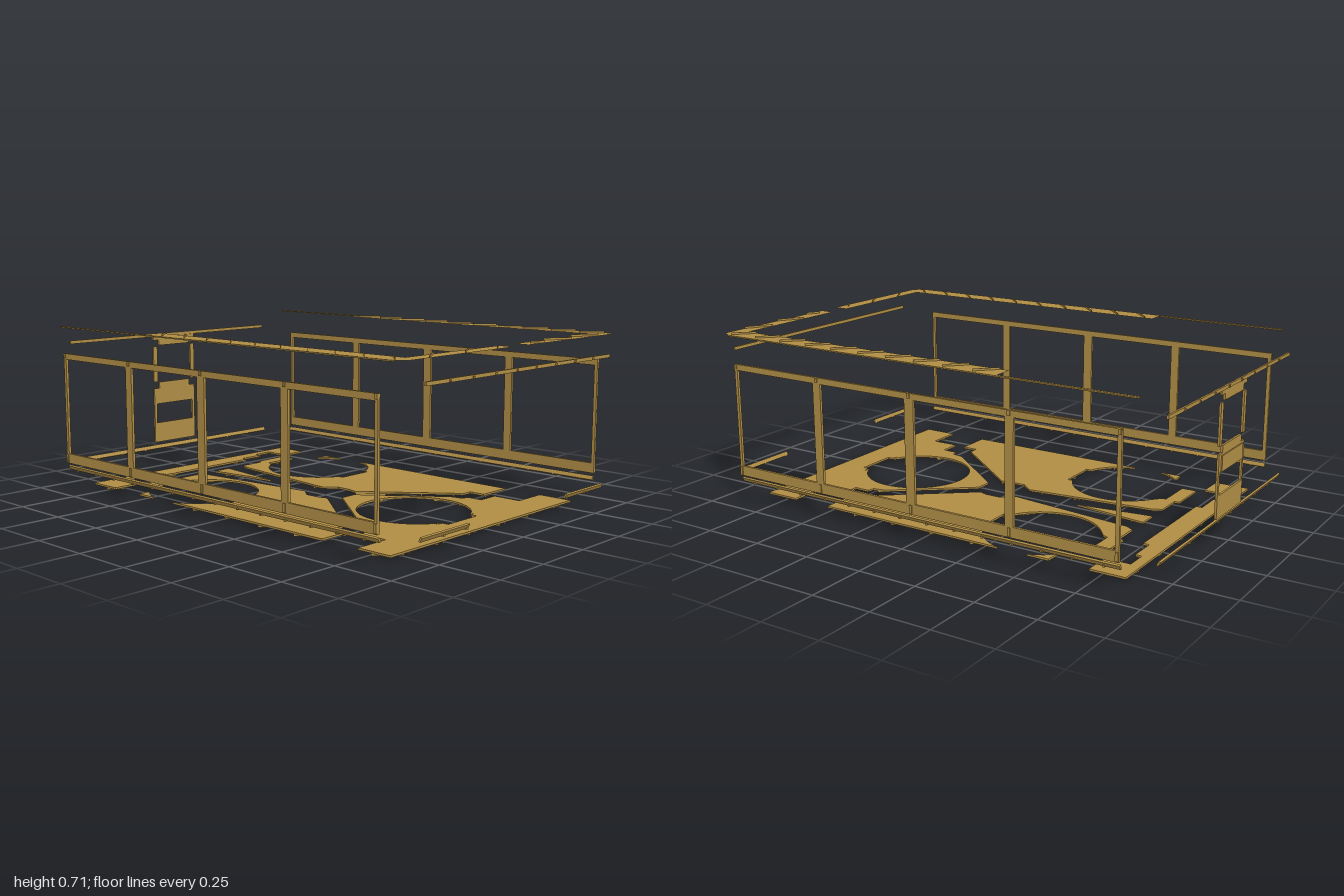
import * as THREE from 'three';

const brass = new THREE.MeshStandardMaterial({ color: 0xb08d45, side: THREE.DoubleSide });
brass.name = 'brass';

function add(parent, name, geometry) {
  const mesh = new THREE.Mesh(geometry, brass);
  mesh.name = name;
  parent.add(mesh);
  return mesh;
}

// Box given by its limits on each axis
function box(parent, name, x0, x1, y0, y1, z0, z1) {
  const g = new THREE.BoxGeometry(Math.abs(x1 - x0), y1 - y0, Math.abs(z1 - z0));
  return add(parent, name, g.translate((x0 + x1) / 2, (y0 + y1) / 2, (z0 + z1) / 2));
}

// Points [x, z] along an arc on the ground
function arc(cx, cz, r, a0, a1, n = 14) {
  return Array.from({ length: n + 1 }, (_, i) => {
    const a = a0 + ((a1 - a0) * i) / n;
    return [cx + r * Math.cos(a), cz + r * Math.sin(a)];
  });
}

const mirror = (pts) => pts.map(([x, z]) => [-x, z]);
const withMirror = (half) => [...half, ...mirror(half).reverse()];
const toVec = (pts) => pts.map(([x, z]) => new THREE.Vector2(x, -z));

// Horizontal plate from an [x, z] outline
function plate(parent, name, pts, y0, y1, hole) {
  const shape = new THREE.Shape(toVec(pts));
  if (hole) shape.holes.push(new THREE.Path(toVec(hole)));
  const g = y1 > y0
    ? new THREE.ExtrudeGeometry(shape, { depth: y1 - y0, bevelEnabled: false })
    : new THREE.ShapeGeometry(shape);
  return add(parent, name, g.rotateX(-Math.PI / 2).translate(0, y0, 0));
}

// Thin upright rib between two ground points
function rib(parent, name, [ax, az], [bx, bz], y0, y1, t = 0.003) {
  const g = new THREE.BoxGeometry(Math.hypot(bx - ax, bz - az), y1 - y0, t);
  g.rotateY(-Math.atan2(bz - az, bx - ax));
  return add(parent, name, g.translate((ax + bx) / 2, (y0 + y1) / 2, (az + bz) / 2));
}

function inside(x, z, pts) {
  let hit = false;
  for (let i = 0, j = pts.length - 1; i < pts.length; j = i++) {
    const [xi, zi] = pts[i], [xj, zj] = pts[j];
    if (zi > z !== zj > z && x < ((xj - xi) * (z - zi)) / (zj - zi) + xi) hit = !hit;
  }
  return hit;
}

// Floor plates with cut-outs and a diagonal rib lattice underneath
function buildFloor() {
  const floor = new THREE.Group();
  floor.name = 'floor';
  const C = [0.35, -0.376, 0.23];
  const side = [
    [0.42, -0.677], [0.25, -0.677], [0.25, -0.656], [0.135, -0.656], [0.116, -0.62],
    [0.053, -0.07], [0.097, -0.016], [0.097, 0.053], [0.085, 0.09], [0.37, 0.45],
    [0.415, 0.45], [0.415, 0.52], [0.57, 0.52],
    ...arc(...C, 0.27, 1.216), [0.43, -0.14], [0.26, -0.14], ...arc(...C, 1.974, 3.97),
    [0.25, -0.59], [0.26, -0.614], [0.42, -0.614],
  ];
  const corner = [[0.57, -0.535], ...arc(...C, -0.78, -0.29, 6)];
  const backBar = withMirror([
    [0.57, -0.852], [0.57, -0.704], [0.45, -0.704], [0.45, -0.81], [0.36, -0.81],
    [0.36, -0.783], [0.243, -0.783], [0.243, -0.757],
  ]);
  const front = withMirror([
    [0.037, 0.13], [0.285, 0.445], [0.295, 0.5], [0.325, 0.505], [0.325, 0.573],
    [0.42, 0.573], [0.42, 0.695], [0.57, 0.695], [0.57, 0.843],
  ]);
  const frontHole = [
    ...arc(0, 0.48, 0.228, Math.PI - 1.15, Math.PI * 2 + 1.15, 40),
    [0.125, 0.69], [0.09, 0.695], [0.09, 0.722], [-0.09, 0.722], [-0.09, 0.695], [-0.125, 0.69],
  ];
  const plates = [
    ['sidePlate', side], ['sidePlate', mirror(side)],
    ['cornerPlate', corner], ['cornerPlate', mirror(corner)],
    ['backPlate', backBar], ['frontPlate', front, frontHole],
    ['centrePlate', [[-0.042, -0.656], [0.042, -0.656], [0, -0.333]]],
  ];
  for (const [name, pts, hole] of plates) {
    plate(floor, name, pts, 0.008, 0.016, hole);
    // march along each lattice line and keep the stretches under the plate
    for (const s of [1, -1]) {
      for (let c = -1.52; c < 1.5; c += 0.19) {
        let start = null;
        for (let x = -0.6; x <= 0.6; x += 0.01) {
          const z = s * x + c;
          const on = inside(x, z, pts) && !(hole && inside(x, z, hole));
          if (on && !start) start = [x, z];
          if (!on && start) {
            const end = [x - 0.01, z - s * 0.01];
            if (end[0] - start[0] > 0.02) rib(floor, 'floorRib', start, end, 0, 0.009, 0.005);
            start = null;
          }
        }
      }
    }
  }
  return floor;
}

// Window frame and sill rail on one side (s = +1 or -1)
function buildSide(s) {
  const g = new THREE.Group();
  g.name = s > 0 ? 'leftSide' : 'rightSide';
  const xi = s * 0.676, xo = s * 0.687;
  box(g, 'topFrameRail', xi, xo, 0.567, 0.592, -0.882, 0.884);
  box(g, 'bottomFrameRail', xi, xo, 0.118, 0.16, -0.882, 0.884);
  const posts = [[-0.882, -0.866], [-0.457, -0.42], [-0.02, 0.022], [0.43, 0.467], [0.87, 0.884]];
  for (const [z0, z1] of posts) {
    const m = (z0 + z1) / 2;
    box(g, 'windowPost', xi, xo, 0.16, 0.567, z0, z1);
    box(g, 'lowerClip', xo, s * 0.691, 0.122, 0.156, m - 0.006, m + 0.006);
    box(g, 'upperClip', xo, s * 0.691, 0.573, 0.592, m - 0.006, m + 0.006);
  }
  // slanted sill rail with small tabs
  const rail = new THREE.BoxGeometry(0.009, 0.018, 1.766);
  rail.rotateZ(-s * 0.5).translate(s * 0.673, 0.098, 0);
  add(g, 'sillRail', rail);
  for (let i = 0; i < 14; i++) {
    const z = -0.82 + i * 0.126;
    box(g, 'sillTab', s * 0.668, s * 0.68, 0.086, 0.093, z - 0.004, z + 0.004);
  }
  return g;
}

// Flat upper rim with an outer lip and diagonal ribs
function buildRim() {
  const rim = new THREE.Group();
  rim.name = 'upperRim';
  for (const s of [1, -1]) {
    const at = (x, z) => [s * x, z];
    const outline = [
      [0.045, 0.905], [0.575, 0.905], [0.575, -0.37], [0.667, -0.37],
      [0.667, 0.93], [0.655, 0.955], [0.63, 0.972], [0.045, 0.972],
    ];
    plate(rim, 'rimStrip', outline.map(([x, z]) => at(x, z)), 0.703, 0.703);
    box(rim, 'rimLip', s * 0.655, s * 0.669, 0.698, 0.703, -0.93, 0.93);
    for (const [x0, x1] of [[0.1, 0.15], [0.235, 0.335], [0.43, 0.53]])
      rib(rim, 'rimRib', at(x0, x1 - x0 < 0.06 ? 0.94 : 0.908), at(x1, 0.97), 0.703, 0.711, 0.002);
    for (let z = 0.89; z > -0.34; z -= 0.132)
      rib(rim, 'rimRib', at(0.58, z - 0.035), at(0.652, z + 0.035), 0.703, 0.711, 0.002);
  }
  return rim;
}

// Cross rails at the front and back
function buildCrossRails() {
  const g = new THREE.Group();
  g.name = 'crossRails';
  const tabs = [-0.45, -0.32, -0.19, -0.06, 0.06, 0.19, 0.32, 0.45];
  box(g, 'frontTopRail', -0.577, 0.577, 0.616, 0.63, 0.989, 0.997);
  box(g, 'backTopRail', -0.577, 0.577, 0.616, 0.63, -0.997, -0.989);
  const slanted = (name, x0, x1, s) => {
    const r = new THREE.BoxGeometry(x1 - x0, 0.018, 0.008);
    add(g, name, r.rotateX(s * 0.5).translate((x0 + x1) / 2, 0.098, s * 0.978));
  };
  slanted('frontLowRail', -0.577, -0.31, 1);
  slanted('frontLowRail', 0.31, 0.577, 1);
  slanted('backLowRail', -0.577, 0.577, -1);
  for (const x of tabs) {
    for (const s of [1, -1]) {
      box(g, 'railTab', x - 0.005, x + 0.005, 0.617, 0.626, s * 0.997, s);
      if (s < 0 || Math.abs(x) > 0.31)
        box(g, 'lowTab', x - 0.005, x + 0.005, 0.086, 0.092, s * 0.973, s * 0.982);
    }
  }
  return g;
}

// Door on the back wall, with window posts and a lower opening
function buildBackDoor() {
  const g = new THREE.Group();
  g.name = 'backDoor';
  const zi = -0.986, zo = -0.995;
  box(g, 'doorHead', -0.122, 0.122, 0.6, 0.616, zo, zi);
  box(g, 'doorHeadPanel', -0.09, 0.09, 0.575, 0.6, zo, zi);
  for (const s of [1, -1]) box(g, 'doorPost', s * 0.1, s * 0.122, 0.404, 0.57, zo, zi);
  const door = new THREE.Shape(toVec(withMirror([
    [0.09, -0.402], [0.09, -0.373], [0.121, -0.373], [0.121, -0.118],
  ])));
  door.holes.push(new THREE.Path(toVec(withMirror([[0.107, -0.3], [0.107, -0.21]]))));
  const geo = new THREE.ExtrudeGeometry(door, { depth: 0.009, bevelEnabled: false });
  add(g, 'doorPanel', geo.translate(0, 0, zo));
  box(g, 'doorBulge', -0.1, 0.1, 0.302, 0.365, -1, zo);
  return g;
}

export function createModel() {
  const model = new THREE.Group();
  model.name = 'vehicleShell';
  model.add(buildFloor(), buildSide(1), buildSide(-1), buildRim(), buildCrossRails(), buildBackDoor());
  return model;
}
